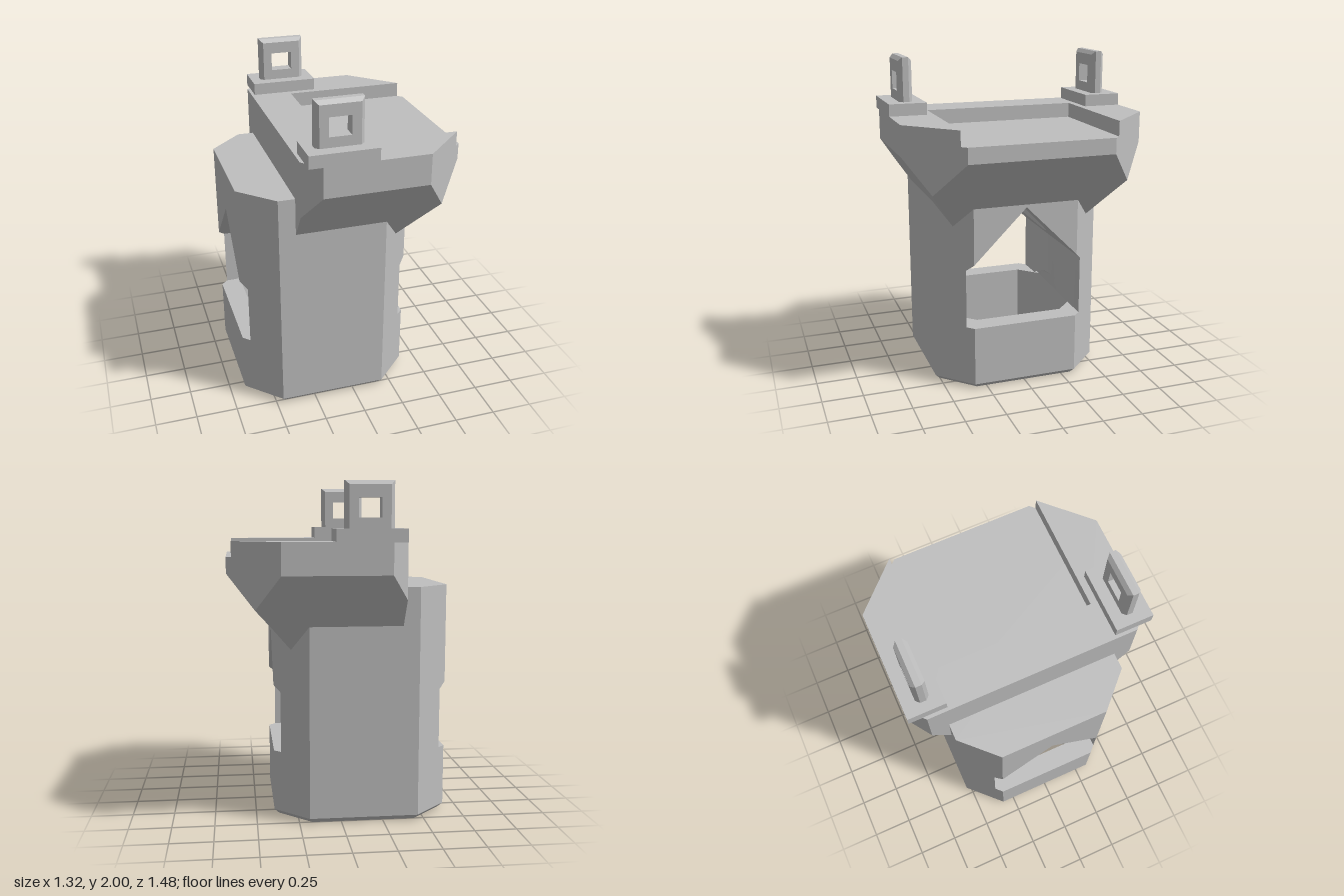
import * as THREE from 'three';
import { toCreasedNormals } from 'three/addons/utils/BufferGeometryUtils.js';
import { ConvexGeometry } from 'three/addons/geometries/ConvexGeometry.js';

const grey = new THREE.MeshStandardMaterial({ color: 0xbfbfbf });
grey.name = 'plain grey';

const AXIS_X = -0.135; // column centre line
const WINDOW_Z = 0.37, RIDGE_Y = 1.135, SILL_Y = 0.4, LID_Y = 1.14, BORE_R = 0.31;

function part(name, geometry, parent) {
  const mesh = new THREE.Mesh(geometry, grey);
  mesh.name = name;
  parent.add(mesh);
  return mesh;
}

const shapeOf = (pts) => new THREE.Shape(pts.map(([x, z]) => new THREE.Vector2(x, z)));

// Upright slab from a plan shape (x, z); rule(v) may move its vertices
function slab(shape, y0, y1, rule) {
  const g = new THREE.ExtrudeGeometry(shape, { depth: y1 - y0, bevelEnabled: false, curveSegments: 32 });
  g.rotateX(Math.PI / 2).translate(0, y1, 0);
  if (!rule) return g;
  const p = g.attributes.position, v = new THREE.Vector3();
  for (let i = 0; i < p.count; i++) {
    v.fromBufferAttribute(p, i);
    if (v.y < y0 + 0.001) rule(v);
    p.setXYZ(i, v.x, v.y, v.z);
  }
  g.computeVertexNormals();
  return toCreasedNormals(g, 0.4);
}

// Chamfered column outline, inset by t
function octagon(t) {
  const x = 0.525 - t, z = 0.53 - t, fx = 0.325 - 0.414 * t, fz = 0.33 - 0.414 * t;
  return [[x, -fz], [x, fz], [fx, z], [-fx, z], [-x, fz], [-x, -fz], [-fx, -z], [fx, -z]];
}

function ringShape() {
  const s = shapeOf(octagon(0));
  s.holes.push(shapeOf(octagon(0.13)));
  return s;
}

function buildColumn() {
  const column = new THREE.Group();
  column.name = 'column';
  column.position.x = AXIS_X;

  part('lowerWall', slab(ringShape(), 0.03, SILL_Y), column);
  // base edge: chamfered outside and flared inside
  part('baseEdge', slab(ringShape(), 0, 0.03, (v) => {
    const k = Math.hypot(v.x, v.z) > 0.53 ? 0.945 : 1.075;
    v.x *= k;
    v.z *= k;
  }), column);
  part('columnTop', slab(shapeOf(octagon(0)), LID_Y, 1.4), column);

  for (const turn of [0, Math.PI]) {
    const side = new THREE.Group();
    side.name = turn ? 'backHalf' : 'frontHalf';
    side.rotation.y = turn;
    column.add(side);

    // outer side wall beside the window
    part('sideWall', slab(shapeOf([[0.455, 0.4], [0.325, 0.53], [-0.325, 0.53], [-0.455, 0.4]]), SILL_Y, LID_Y), side);

    // inner lining, arched at the foot by the conical cavity
    const strip = [[0.485, WINDOW_Z], [0.455, 0.4]];
    const n = 12;
    for (let i = 0; i <= n; i++) strip.push([0.3 - (0.6 * i) / n, 0.4]);
    strip.push([-0.455, 0.4], [-0.485, WINDOW_Z]);
    for (let i = 0; i <= n; i++) strip.push([-0.3 + (0.6 * i) / n, WINDOW_Z]);
    part('sideLining', slab(shapeOf(strip), SILL_Y, LID_Y, (v) => {
      v.y += Math.max(0, 0.48 - Math.hypot(v.x, v.z)) * 0.83;
    }), side);

    // sloping window roof with half of the round bore
    const roof = shapeOf([[BORE_R, 0], [0.525, 0], [0.525, 0.33], [0.485, WINDOW_Z],
      [-0.485, WINDOW_Z], [-0.525, 0.33], [-0.525, 0], [-BORE_R, 0]]);
    roof.absarc(0, 0, BORE_R, Math.PI, 0, true);
    part('windowRoof', slab(roof, 0.77, LID_Y, (v) => { v.y = RIDGE_Y - v.z; }), side);
  }
  return column;
}

// Convex solid from points, each mirrored across z when asked
function hull(pts, mirror) {
  const all = pts.map((p) => new THREE.Vector3(...p));
  if (mirror) pts.forEach(([x, y, z]) => all.push(new THREE.Vector3(x, y, -z)));
  return new ConvexGeometry(all);
}

function buildHead() {
  const head = new THREE.Group();
  head.name = 'head';

  // flared body
  part('headBody', hull([
    [-0.36, 1.15, 0.513], [0.388, 1.15, 0.513],
    [-0.36, 1.335, 0.64], [0.5, 1.28, 0.6],
    [-0.26, 1.48, 0.74], [0.36, 1.48, 0.74], [0.66, 1.48, 0.44],
    [-0.36, 1.575, 0.64], [-0.26, 1.575, 0.74], [0.36, 1.575, 0.74], [0.66, 1.575, 0.44],
  ], true), head);

  // pointed brackets running down the column chamfers
  for (const s of [1, -1]) {
    part('cornerBracket', hull([
      [0.29, 1.03, 0.43 * s], [0.388, 1.15, 0.513 * s], [0.388, 1.15, 0.33 * s],
      [0.2, 1.15, 0.513 * s], [0.2, 1.15, 0.4 * s],
    ]), head);
  }

  // raised rim around the open tray
  part('trayRim', slab(shapeOf([
    [-0.36, -0.64], [-0.26, -0.74], [0.36, -0.74], [0.63, -0.47], [-0.11, -0.47],
    [-0.11, 0.47], [0.63, 0.47], [0.36, 0.74], [-0.26, 0.74], [-0.36, 0.64],
  ]), 1.575, 1.665), head);
  return head;
}

// Square frame: bevelled outside, straight-walled hole
function frameGeometry() {
  const b = 0.022, y0 = 1.7, x0 = -0.28, x1 = 0, y1 = 2;
  const hx = [-0.205, -0.075], hy = [1.797, 1.908];
  const s = shapeOf([[x0, y0], [x1, y0], [x1, y1], [x0, y1]]);
  s.holes.push(shapeOf([[hx[0], hy[0]], [hx[0], hy[1]], [hx[1], hy[1]], [hx[1], hy[0]]]));
  const g = new THREE.ExtrudeGeometry(s, {
    depth: 0.036, bevelEnabled: true, bevelSegments: 1, bevelSize: b, bevelThickness: b, bevelOffset: -b,
  });
  const p = g.attributes.position;
  const nearest = (v, [a, c]) => (Math.abs(v - a) < Math.abs(v - c) ? a : c);
  for (let i = 0; i < p.count; i++) {
    const x = p.getX(i), y = p.getY(i);
    if (x > x0 + 0.035 && x < x1 - 0.035 && y > y0 + 0.035 && y < y1 - 0.035) {
      p.setXY(i, nearest(x, hx), nearest(y, hy));
    }
  }
  g.translate(0, 0, -0.018);
  g.computeVertexNormals();
  return g;
}

export function createModel() {
  const model = new THREE.Group();
  model.name = 'postWithTray';
  model.add(buildColumn(), buildHead());

  // two pads carrying the upright frames
  for (const s of [1, -1]) {
    const sight = new THREE.Group();
    sight.name = s > 0 ? 'frontFrame' : 'backFrame';
    part('pad', new THREE.BoxGeometry(0.4, 0.075, 0.228), sight).position.set(-0.14, 1.6995, 0.626 * s);
    part('frame', frameGeometry(), sight).position.z = 0.622 * s;
    model.add(sight);
  }
  return model;
}
